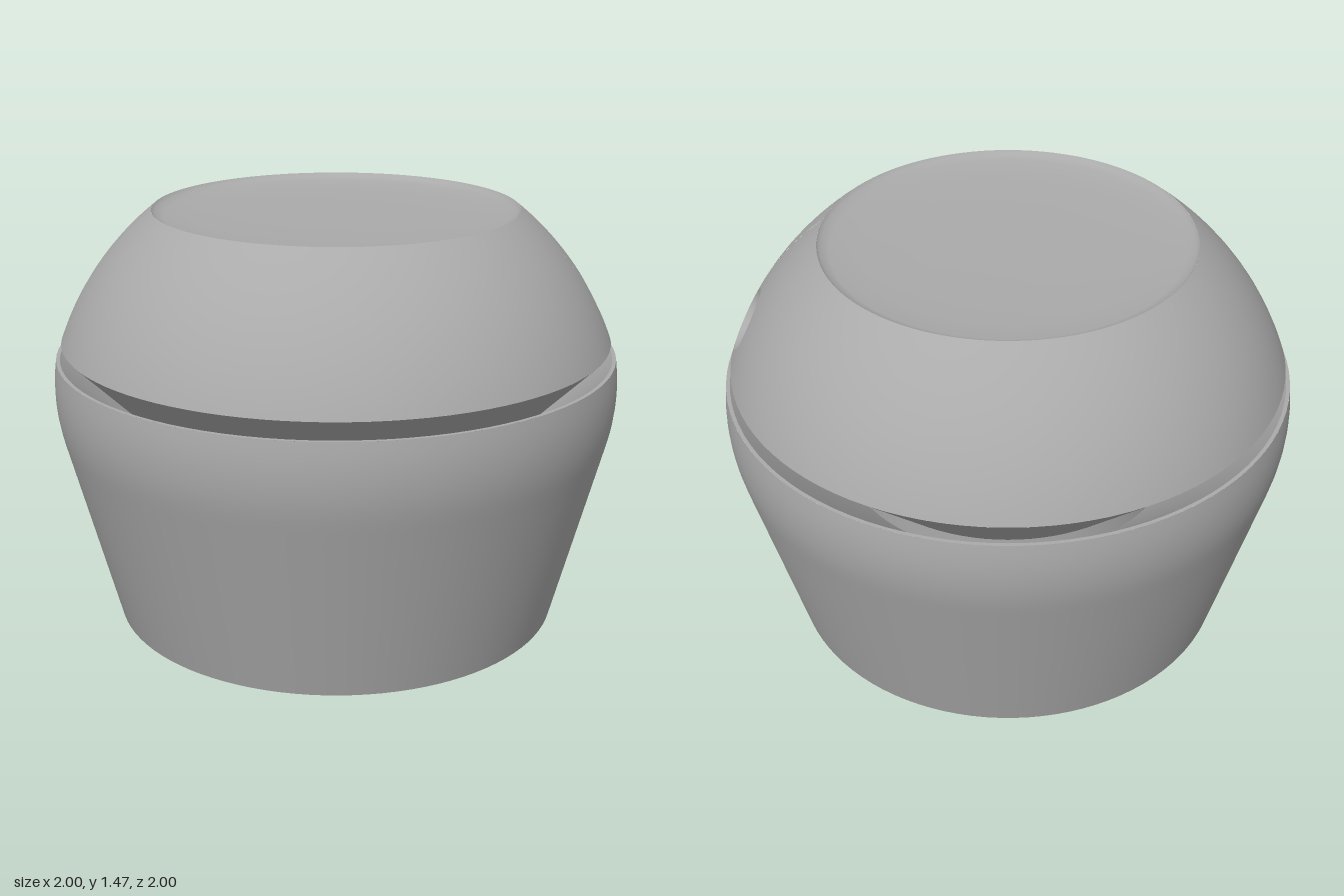
import * as THREE from 'three';
import { mergeGeometries } from 'three/addons/utils/BufferGeometryUtils.js';

const SEG = 96;        // sides around the axis
const WEDGE = 0.18;    // half angle of the sector on +x that carries the dimples
const AROUND = 64;     // points around each dimple

// Outer radius of the tapered body and of the domed lid at height y
const bodyRadius = (y) => {
  const t = Math.max(0, y - 0.68);
  return 0.805 + 0.255 * y - 0.75 * t * t;
};
const lidRadius = (y) => Math.sqrt(1.068 - (y - 0.659) ** 2);

// Point on a surface of revolution, h being the angle away from +x
const onSurface = (radius, h, y) => {
  const r = radius(y);
  return new THREE.Vector3(r * Math.cos(h), y, -r * Math.sin(h));
};
const surfaceNormal = (radius, h, y) => {
  const slope = (radius(y + 0.001) - radius(y - 0.001)) / 0.002;
  return new THREE.Vector3(Math.cos(h), -slope, -Math.sin(h)).normalize();
};

const vectors = (pts) => pts.map(([r, y]) => new THREE.Vector2(r, y));

// Turned surface with a hard edge at every profile point
function hardTurned(pts) {
  const parts = [];
  for (let i = 0; i < pts.length - 1; i++) {
    parts.push(new THREE.LatheGeometry(vectors([pts[i], pts[i + 1]]), SEG));
  }
  return mergeGeometries(parts);
}

// Smooth outer wall, left open over the dimple sector
function outerWall(radius, y0, y1) {
  const pts = [];
  for (let i = 0; i <= 28; i++) {
    const y = y0 + ((y1 - y0) * i) / 28;
    pts.push([radius(y), y]);
  }
  return new THREE.LatheGeometry(vectors(pts), SEG, Math.PI / 2 + WEDGE, 2 * Math.PI - 2 * WEDGE);
}

// Closed rings of points joined into a surface
function ringSurface(rings, pointAt, normalAt) {
  const pos = [], nor = [], index = [];
  for (let j = 0; j <= rings; j++) {
    for (let i = 0; i < AROUND; i++) {
      const angle = -0.75 * Math.PI + (2 * Math.PI * i) / AROUND;
      pos.push(...pointAt(j / rings, angle).toArray());
      if (normalAt) nor.push(...normalAt(j / rings, angle).toArray());
      if (j < rings) {
        const a = j * AROUND + i, d = j * AROUND + ((i + 1) % AROUND);
        index.push(a, a + AROUND, d + AROUND, a, d + AROUND, d);
      }
    }
  }
  const g = new THREE.BufferGeometry();
  g.setAttribute('position', new THREE.Float32BufferAttribute(pos, 3));
  g.setIndex(index);
  if (normalAt) g.setAttribute('normal', new THREE.Float32BufferAttribute(nor, 3));
  else g.computeVertexNormals();
  return g;
}

// Wall panel between y0 and y1 with a round hole, and the hollow behind it
function dimple(radius, y0, y1, yc, halfHeight) {
  const halfAngle = 0.12 / radius(yc);
  const depth = 0.07;
  const hole = (a) => [halfAngle * Math.cos(a), yc + halfHeight * Math.sin(a)];
  const place = (t, a) => {
    const m = Math.max(Math.abs(Math.cos(a)), Math.abs(Math.sin(a)));
    const u = Math.cos(a) / m, v = Math.sin(a) / m;
    const [h, y] = hole(a);
    const edgeY = yc + v * (v > 0 ? y1 - yc : yc - y0);
    return [h + (u * WEDGE - h) * t, y + (edgeY - y) * t];
  };
  const panel = ringSurface(
    12,
    (t, a) => onSurface(radius, ...place(t, a)),
    (t, a) => surfaceNormal(radius, ...place(t, a)),
  );
  const centre = onSurface(radius, 0, yc);
  const inward = surfaceNormal(radius, 0, yc).negate();
  const hollow = ringSurface(10, (t, a) => {
    const k = Math.max(t, 0.002);
    return centre.clone()
      .lerp(onSurface(radius, ...hole(a)), k)
      .addScaledVector(inward, depth * (1 - k * k));
  });
  return { panel, hollow };
}

export function createModel() {
  const model = new THREE.Group();
  const grey = new THREE.MeshStandardMaterial({ color: 0xaaaaaa });
  grey.name = 'plain grey';

  const add = (parent, name, geometry) => {
    const mesh = new THREE.Mesh(geometry, grey);
    mesh.name = name;
    parent.add(mesh);
  };
  const group = (name) => {
    const g = new THREE.Group();
    g.name = name;
    model.add(g);
    return g;
  };
  const addDimple = (parent, name, ...args) => {
    const { panel, hollow } = dimple(...args);
    add(parent, name + 'Panel', panel);
    add(parent, name + 'Hollow', hollow);
  };

  // Tapered body with a ring slot underneath and a conical seat on top
  const body = group('body');
  add(body, 'baseWithRingSlot', hardTurned([
    [0, 0], [0.485, 0], [0.485, 0.2], [0.55, 0.2], [0.55, 0], [0.805, 0],
  ]));
  add(body, 'bodyWall', outerWall(bodyRadius, 0, 0.96));
  add(body, 'conicalSeat', hardTurned([[bodyRadius(0.96), 0.96], [0.978, 0.96], [0.6, 0.582]]));
  addDimple(body, 'lowerDimple', bodyRadius, 0, 0.44, 0.275, 0.107);
  addDimple(body, 'middleDimple', bodyRadius, 0.44, 0.96, 0.603, 0.107);

  // Domed lid with an undercut cone below and a shallow dish on top
  const lid = group('lid');
  add(lid, 'lidUndercut', hardTurned([[0.6, 0.582], [0.6, 0.645], [lidRadius(1.015), 1.015]]));
  add(lid, 'lidDome', outerWall(lidRadius, 1.015, 1.47));
  addDimple(lid, 'upperDimple', lidRadius, 1.015, 1.47, 1.139, 0.102);
  add(lid, 'topDish', new THREE.LatheGeometry(vectors([
    [lidRadius(1.47), 1.47], [0.63, 1.458], [0.6, 1.448], [0.5, 1.438], [0.3, 1.431], [0, 1.43],
  ]), SEG));

  return model;
}
